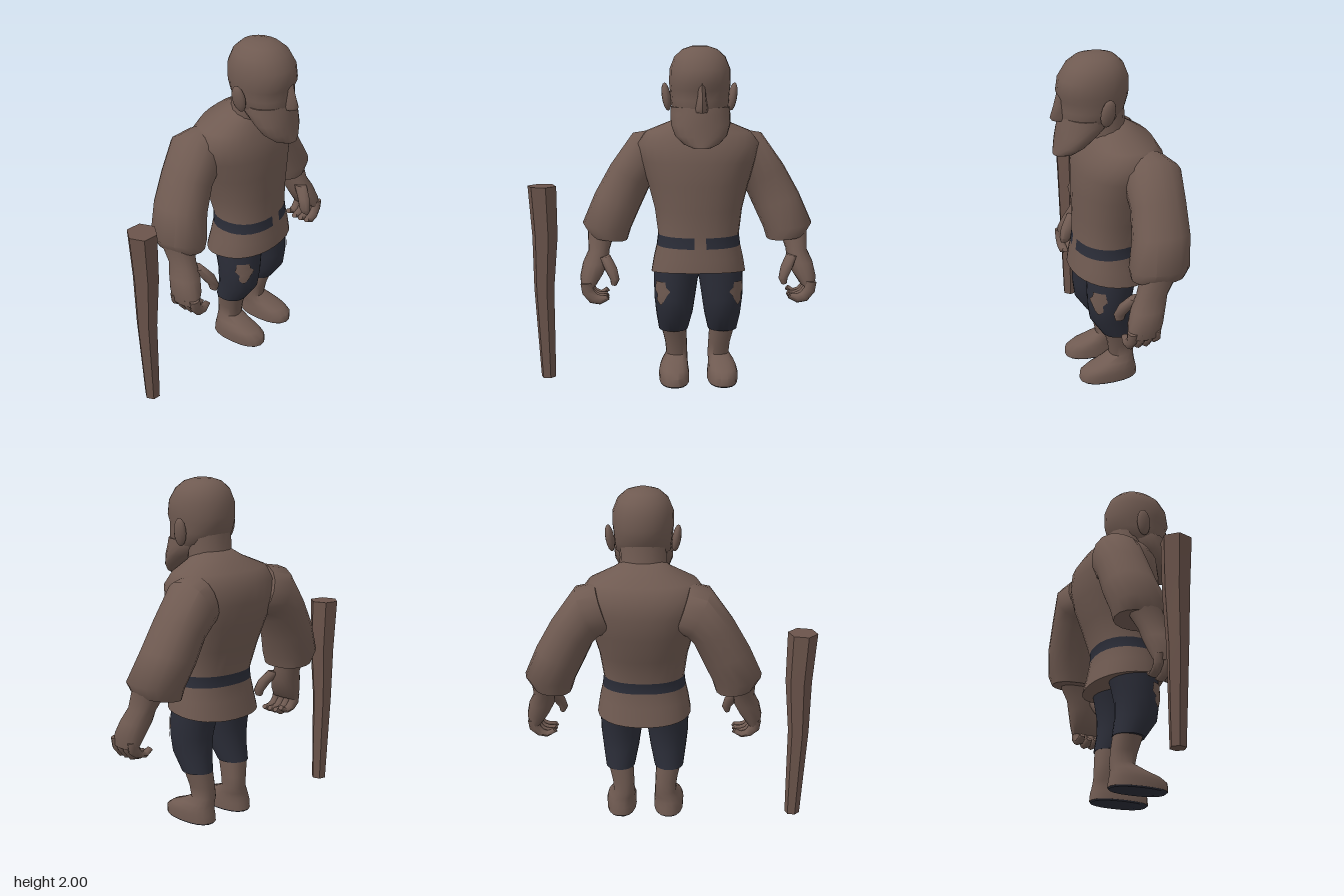
import * as THREE from 'three';
import { toCreasedNormals } from 'three/addons/utils/BufferGeometryUtils.js';

const TAU = Math.PI * 2;

// A ring is [ax, ay, bx, by, zFront, zBack, slope]: an oval spanning a to b and back to front
const flat = (y, x0, x1, zf, zb, slope = 0) => [x0, y, x1, y, zf, zb, slope];
const sym = (y, hw, zf, zb, slope) => flat(y, -hw, hw, zf, zb, slope);

function ringPoint([ax, ay, bx, by, zf, zb, slope = 0], t, p = 1, grow = 0) {
  const pw = (v) => Math.sign(v) * Math.abs(v) ** p;
  const c = pw(Math.cos(t)), s = pw(Math.sin(t));
  const z = (zf + zb) / 2 + ((zf - zb) / 2 + grow) * s;
  return [
    (ax + bx) / 2 + ((bx - ax) / 2 + grow) * c,
    (ay + by) / 2 + ((by - ay) / 2) * c + slope * z,
    z,
  ];
}

function build(pos, groups, crease) {
  const g = new THREE.BufferGeometry();
  g.setAttribute('position', new THREE.Float32BufferAttribute(pos, 3));
  g.setIndex(groups.flat());
  let start = 0;
  if (groups.length > 1) groups.forEach((ix, m) => {
    g.addGroup(start, ix.length, m);
    start += ix.length;
  });
  return toCreasedNormals(g, crease);
}

// Skin a closed, capped surface over the rings; pick(row, segment) chooses a material
function loft(rings, { n = 16, p = 1, turn = 0, crease = 1, pick = null } = {}) {
  const pos = [], groups = pick ? [[], []] : [[]];
  for (const r of rings)
    for (let j = 0; j < n; j++) pos.push(...ringPoint(r, ((j + turn) / n) * TAU, p));
  const last = rings.length - 1;
  for (const r of [rings[0], rings[last]]) {
    const [x, y, z] = [(r[0] + r[2]) / 2, (r[1] + r[3]) / 2, (r[4] + r[5]) / 2];
    pos.push(x, y + (r[6] || 0) * z, z);
  }
  const c0 = rings.length * n, c1 = c0 + 1;
  for (let j = 0; j < n; j++) {
    const k = (j + 1) % n;
    for (let i = 0; i < last; i++) {
      const a = i * n + j, b = i * n + k;
      groups[pick ? pick(i, j) : 0].push(a, a + n, b, b, a + n, b + n);
    }
    groups[0].push(c0, j, k, c1, last * n + k, last * n + j);
  }
  return build(pos, groups, crease);
}

function mirror(geo) {
  const g = geo.clone().scale(-1, 1, 1);
  for (const a of [g.attributes.position, g.attributes.normal])
    for (let i = 0; i < a.count; i += 3)
      for (let k = 0; k < 3; k++) {
        const v = a.getComponent(i + 1, k);
        a.setComponent(i + 1, k, a.getComponent(i + 2, k));
        a.setComponent(i + 2, k, v);
      }
  return g;
}

// Thin patch laid over a lofted surface; each row is [y, angle0, angle1]
function patch(rings, rows, cols = 5) {
  const pos = [], ix = [];
  rows.forEach(([y, t0, t1], i) => {
    const k = Math.max(1, rings.findIndex((r) => r[1] >= y));
    const lo = rings[k - 1], hi = rings[k], f = (y - lo[1]) / (hi[1] - lo[1]);
    const r = lo.map((v, q) => v + (hi[q] - v) * f);
    for (let j = 0; j <= cols; j++) {
      pos.push(...ringPoint(r, t0 + ((t1 - t0) * j) / cols, 1, 0.006));
      if (i && j) {
        const d = i * (cols + 1) + j, b = d - cols - 1;
        ix.push(b - 1, d - 1, b, b, d - 1, d);
      }
    }
  });
  return build(pos, [ix], 1);
}

export function createModel() {
  const mat = (name, color) => Object.assign(new THREE.MeshStandardMaterial({ color }), { name });
  const brown = mat('brown', 0x6f5a51);
  const dark = mat('darkCloth', 0x2b2d38);
  const wood = mat('wood', 0x6b544b);

  const model = new THREE.Group();
  const man = new THREE.Group();
  man.name = 'man';
  man.position.x = 0.15;
  model.add(man);
  const add = (name, geo, m, parent = man) => {
    const mesh = new THREE.Mesh(geo, m);
    mesh.name = name;
    parent.add(mesh);
  };
  const both = (name, geo, m) => {
    add('left' + name, geo, m);
    add('right' + name, mirror(geo), m);
  };

  // Tunic with flared hem and a belt that parts at the front
  add('tunic', loft([
    sym(0.67, 0.28, 0.22, -0.23, 0.13), sym(0.76, 0.265, 0.21, -0.205, 0.05),
    sym(0.835, 0.248, 0.198, -0.19), sym(0.9, 0.24, 0.19, -0.19),
    sym(1.05, 0.26, 0.19, -0.24), sym(1.2, 0.3, 0.192, -0.29),
    sym(1.33, 0.34, 0.188, -0.312), sym(1.43, 0.36, 0.165, -0.3),
    sym(1.5, 0.31, 0.125, -0.255), sym(1.56, 0.17, 0.09, -0.16), sym(1.6, 0.11, 0.06, -0.1),
  ], { n: 28, p: 0.9, turn: 0.5, pick: (i, j) => (i === 2 && j !== 6 ? 1 : 0) }), [brown, dark]);

  // Neck, head, beard, nose and ears
  add('neck', loft([sym(1.5, 0.15, 0.12, -0.14), sym(1.6, 0.135, 0.13, -0.1),
    sym(1.75, 0.135, 0.15, -0.095)]), brown);
  add('head', loft([
    sym(1.58, 0.12, 0.25, 0.02), sym(1.64, 0.163, 0.27, -0.06), sym(1.7, 0.168, 0.27, -0.098),
    sym(1.755, 0.173, 0.272, -0.115), sym(1.79, 0.177, 0.287, -0.12), sym(1.87, 0.175, 0.275, -0.118),
    sym(1.94, 0.147, 0.232, -0.09), sym(1.982, 0.1, 0.18, -0.045), sym(2, 0.045, 0.12, 0.01),
  ], { n: 20, p: 0.95, crease: 1.4 }), brown);
  add('beard', loft([
    sym(1.435, 0.05, 0.312, 0.24), sym(1.455, 0.1, 0.307, 0.19), sym(1.5, 0.148, 0.298, 0.13),
    sym(1.56, 0.169, 0.288, 0.06), sym(1.62, 0.172, 0.278, -0.01), sym(1.66, 0.168, 0.268, 0),
  ], { n: 20 }), brown);
  add('nose', loft([
    sym(1.635, 0.034, 0.315, 0.2), sym(1.655, 0.036, 0.328, 0.2),
    sym(1.72, 0.027, 0.307, 0.2), sym(1.8, 0.022, 0.286, 0.2),
  ], { n: 8 }), brown);
  const ear = new THREE.SphereGeometry(1, 12, 8).scale(0.026, 0.082, 0.043)
    .rotateX(-0.12).rotateZ(-0.15).translate(0.192, 1.71, 0.055);
  both('Ear', ear.toNonIndexed(), brown);

  // Wide sleeves, listed from shoulder to cuff as outer and inner edge
  both('Sleeve', loft([
    [0.27, 1.5, 0.18, 1.22, 0.0, -0.28], [0.385, 1.48, 0.25, 1.2, 0.0, -0.325],
    [0.52, 1.29, 0.285, 1.16, -0.005, -0.315], [0.615, 1.12, 0.345, 1.03, 0.01, -0.31],
    [0.69, 0.945, 0.4, 0.91, 0.05, -0.285], [0.645, 0.87, 0.42, 0.845, 0.035, -0.265],
    [0.6, 0.875, 0.47, 0.855, 0.01, -0.22],
  ], { p: 0.9 }), brown);

  // Forearm and palm, curled fingers, thumb
  both('Forearm', loft([
    [0.66, 0.9, 0.5, 0.88, 0, -0.2], [0.655, 0.79, 0.53, 0.79, 0.03, -0.145],
    [0.688, 0.72, 0.535, 0.72, 0.065, -0.125], [0.705, 0.64, 0.57, 0.65, 0.095, -0.105],
    [0.697, 0.57, 0.61, 0.59, 0.1, -0.085],
  ], { p: 0.9 }), brown);
  for (let i = 0; i < 4; i++) {
    const z = 0.08 - i * 0.046, f = z + 0.028, b = z - 0.028, lift = i === 3 ? 0.02 : 0;
    both('Finger' + (i + 1), loft([
      [0.7, 0.61, 0.63, 0.62, f, b], [0.69, 0.55, 0.625, 0.575, f, b],
      [0.645, 0.495 + lift, 0.605, 0.55, f, b], [0.585, 0.485 + lift, 0.58, 0.54, f, b],
      [0.53, 0.515 + lift, 0.55, 0.54 + lift, f - 0.01, b + 0.01],
    ], { n: 8 }), brown);
  }
  both('Thumb', loft([
    [0.59, 0.76, 0.525, 0.77, 0.06, -0.03], [0.555, 0.69, 0.485, 0.705, 0.11, 0.025],
    [0.525, 0.64, 0.47, 0.64, 0.128, 0.055], [0.52, 0.61, 0.488, 0.605, 0.12, 0.07],
  ], { n: 10 }), brown);

  // Trouser legs with a worn hole on each thigh
  const leg = [
    flat(0.31, 0.06, 0.235, 0.07, -0.122), flat(0.42, 0.035, 0.252, 0.145, -0.105),
    flat(0.52, 0.02, 0.263, 0.158, -0.105), flat(0.62, 0.005, 0.265, 0.16, -0.125),
    flat(0.72, -0.02, 0.262, 0.16, -0.15),
  ];
  both('TrouserLeg', loft(leg, { n: 20 }), dark);
  both('TrouserHole', patch(leg, [
    [0.49, 0.75, 0.85], [0.515, 0.55, 1.0], [0.55, 0.6, 1.15],
    [0.575, 0.4, 1.3], [0.6, 0.45, 1.1], [0.63, 0.5, 1.05],
  ]), brown);

  // Shin and bare foot, with a dark sole
  both('Foot', loft([
    flat(0.008, 0.055, 0.235, 0.21, -0.145), flat(0.055, 0.055, 0.237, 0.208, -0.14),
    flat(0.085, 0.06, 0.23, 0.165, -0.132), flat(0.115, 0.062, 0.215, 0.085, -0.128),
    flat(0.15, 0.062, 0.19, 0.018, -0.128), flat(0.22, 0.065, 0.197, 0.03, -0.125),
    flat(0.33, 0.07, 0.223, 0.062, -0.115),
  ], { n: 18, p: 0.85 }), brown);
  both('Sole', loft([
    flat(0, 0.06, 0.23, 0.2, -0.138), flat(0.0085, 0.056, 0.234, 0.208, -0.143),
  ], { n: 18, p: 0.85 }), dark);

  // Six-sided wooden club standing beside him
  const stick = [[0, -0.757, 0.045], [0.25, -0.765, 0.053], [0.55, -0.775, 0.062],
    [0.87, -0.765, 0.078], [1.175, -0.778, 0.088]];
  add('club', loft(stick.map(([y, x, r]) => flat(y, x - r, x + r, -0.065 + r, -0.065 - r)),
    { n: 6, turn: 0.2, crease: 0.3 }), wood, model);

  return model;
}
